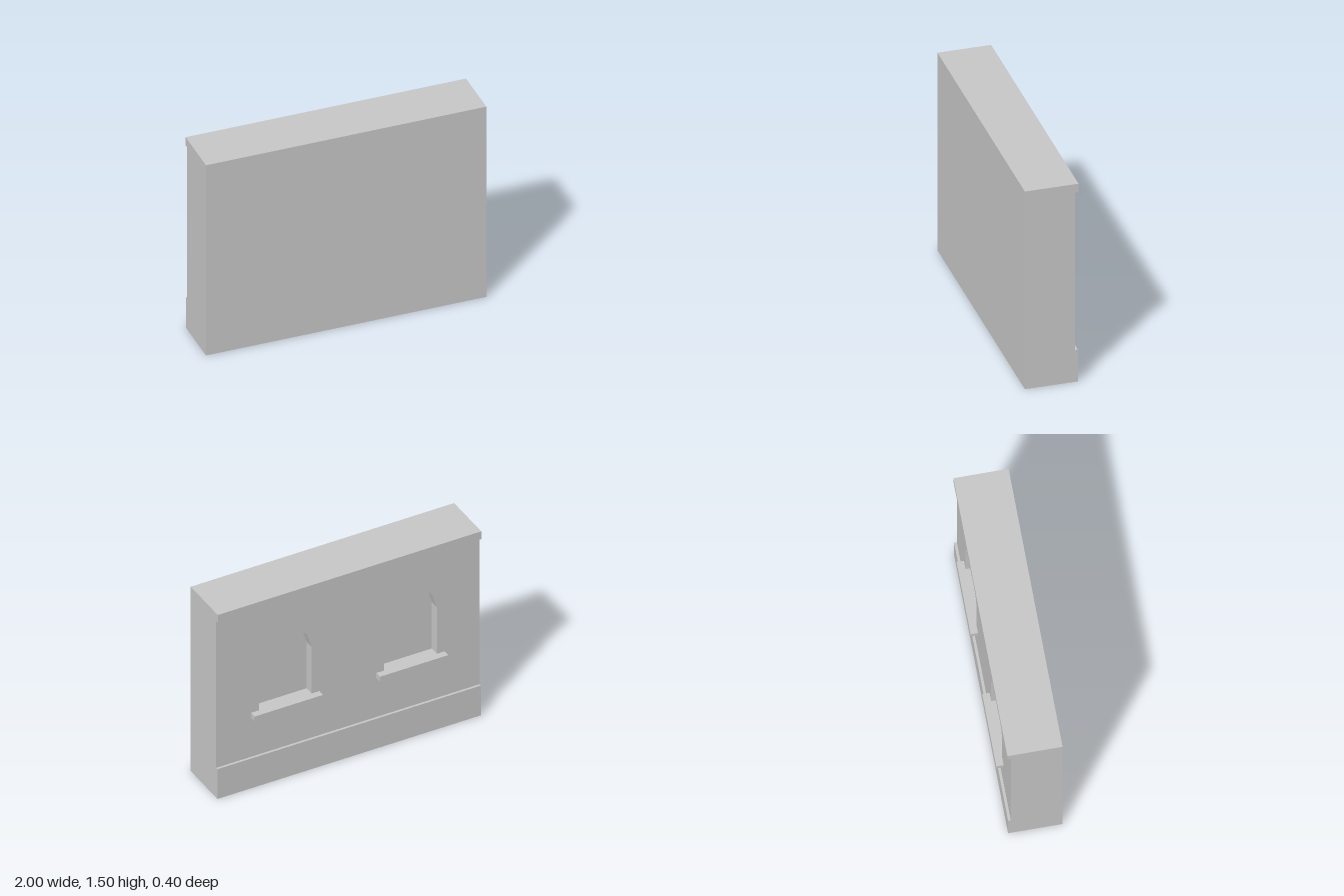
import * as THREE from 'three';

export function createModel() {
  const model = new THREE.Group();
  const stone = new THREE.MeshStandardMaterial({ color: 0xc8c8c8 });
  stone.name = 'grey stone';

  const H = 1.5;
  const FACE = -0.15;    // outer wall face
  const RECESS = -0.08;  // back plane of the window niches
  const FRONT = 0.2;

  const add = (name, geometry) => {
    const mesh = new THREE.Mesh(geometry, stone);
    mesh.name = name;
    model.add(mesh);
    return mesh;
  };
  // Box given by its limits on each axis
  const block = (name, x0, x1, y0, y1, z0, z1) =>
    add(name, new THREE.BoxGeometry(x1 - x0, y1 - y0, z1 - z0))
      .position.set((x0 + x1) / 2, (y0 + y1) / 2, (z0 + z1) / 2);

  // Arched opening, its curve sampled at equal steps across the width
  const windowX = 0.475, radius = 0.2, sillTop = 0.6, spring = 0.98, steps = 12;
  const archOpening = (cx) => {
    const points = [new THREE.Vector2(cx - radius, sillTop), new THREE.Vector2(cx + radius, sillTop)];
    for (let i = 0; i <= steps; i++) {
      const dx = radius * (1 - (2 * i) / steps);
      const rise = Math.sqrt(Math.max(0, radius * radius - dx * dx));
      points.push(new THREE.Vector2(cx + dx, spring + rise));
    }
    return new THREE.Path(points);
  };

  // Solid wall core
  block('wallCore', -1, 1, 0, H, RECESS, FRONT);

  // Outer wall layer pierced by the two niches
  const layer = new THREE.Shape([
    new THREE.Vector2(-1, 0), new THREE.Vector2(1, 0),
    new THREE.Vector2(1, H), new THREE.Vector2(-1, H),
  ]);
  for (const side of [-1, 1]) layer.holes.push(archOpening(side * windowX));
  add('wallFacing', new THREE.ExtrudeGeometry(layer, { depth: RECESS - FACE, bevelEnabled: false }))
    .position.z = FACE;

  // Projecting base course and top cornice
  block('plinth', -1, 1, 0, 0.242, -0.168, FACE);
  block('cornice', -1, 1, 1.436, H, -0.173, FACE);

  // Window sills
  for (const side of [-1, 1]) {
    const cx = side * windowX;
    block(side > 0 ? 'leftSill' : 'rightSill', cx - 0.26, cx + 0.26, 0.56, sillTop, -0.2, FACE);
  }

  return model;
}
